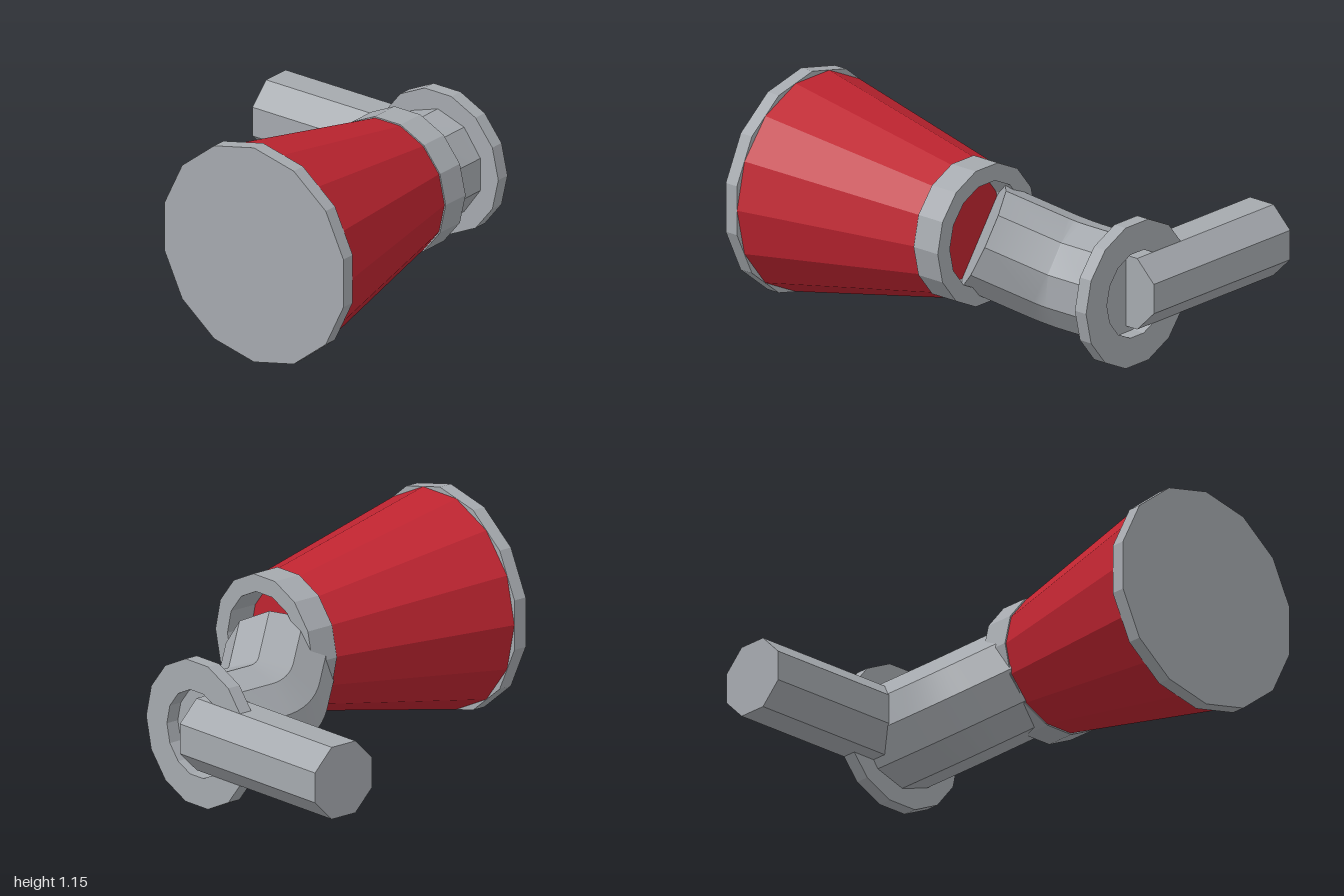
import * as THREE from 'three';
import { toCreasedNormals } from 'three/addons/utils/BufferGeometryUtils.js';

const AXIS = { x: 0.372, y: 0.585 };   // centre line of the cone
const PIPE = { x: 0.065, y: 0.367 };   // centre line of the pipe and handle

export function createModel() {
  const model = new THREE.Group();
  const grey = new THREE.MeshStandardMaterial({ color: 0xa5a9ae });
  grey.name = 'grey metal';
  const red = new THREE.MeshStandardMaterial({ color: 0xbe2430 });
  red.name = 'red paint';

  function add(name, geometry, material) {
    const mesh = new THREE.Mesh(toCreasedNormals(geometry, 0.35), material);
    mesh.name = name;
    model.add(mesh);
    return mesh;
  }

  // Faceted solid along z
  function drum(name, c, rBack, rFront, z0, z1, turn, material) {
    const g = new THREE.CylinderGeometry(rFront, rBack, z1 - z0, 14, 1, false, turn);
    g.rotateX(Math.PI / 2);
    g.translate(c.x, c.y, (z0 + z1) / 2);
    return add(name, g, material);
  }

  // Faceted ring along z, with a flat side on top
  function ring(name, c, rOuter, rInner, z0, z1) {
    const loop = r => Array.from({ length: 14 }, (_, i) => {
      const a = i * Math.PI / 7;
      return new THREE.Vector2(r * Math.cos(a), r * Math.sin(a));
    });
    const shape = new THREE.Shape(loop(rOuter));
    shape.holes.push(new THREE.Path(loop(rInner).reverse()));
    const g = new THREE.ExtrudeGeometry(shape, { depth: z1 - z0, bevelEnabled: false });
    g.translate(c.x, c.y, z0);
    return add(name, g, grey);
  }

  // Cone with its front plate and rear collar
  drum('frontPlate', AXIS, 0.565, 0.565, 0.928, 1, 0, grey);
  drum('cone', AXIS, 0.351, 0.55, -0.04, 0.928, Math.PI / 14, red);
  ring('rearCollar', AXIS, 0.358, 0.27, -0.195, -0.04);

  // Bent pipe, flange and handle
  add('bentPipe', bentPipe(), grey);
  ring('flange', PIPE, 0.372, 0.22, -0.892, -0.82);
  const handle = new THREE.CylinderGeometry(0.198, 0.198, 0.995, 8, 1, false, Math.PI / 8);
  handle.rotateZ(Math.PI / 2);
  handle.translate(-0.4325, PIPE.y, -0.817);
  add('handle', handle, grey);

  return model;
}

// Ten-sided pipe: straight, then a 45 degree bend up and sideways, then straight
function bentPipe() {
  const sides = 10, steps = 8, radius = 0.275, bend = 0.272;
  const phi = THREE.MathUtils.degToRad(35.5);
  const d = new THREE.Vector3(Math.cos(phi), Math.sin(phi), 0);
  const z = new THREE.Vector3(0, 0, 1);
  const b = new THREE.Vector3().crossVectors(z, d);
  const start = new THREE.Vector3(PIPE.x, PIPE.y, -0.552);

  // Sections given as bend angle and extra straight run
  const sections = [[0, -0.27]];
  for (let i = 0; i <= steps; i++) sections.push([i / steps * Math.PI / 4, 0]);
  sections.push([Math.PI / 4, 0.33]);

  const pos = [], index = [], centres = [];
  for (const [a, run] of sections) {
    const tangent = d.clone().multiplyScalar(Math.sin(a)).addScaledVector(z, Math.cos(a));
    const normal = d.clone().multiplyScalar(Math.cos(a)).addScaledVector(z, -Math.sin(a));
    const c = start.clone().addScaledVector(d, bend * (1 - Math.cos(a)))
      .addScaledVector(z, bend * Math.sin(a)).addScaledVector(tangent, run);
    centres.push(c);
    for (let j = 0; j < sides; j++) {
      const t = Math.PI / 2 + j / sides * Math.PI * 2 - phi;
      const p = c.clone().addScaledVector(normal, radius * Math.cos(t))
        .addScaledVector(b, radius * Math.sin(t));
      pos.push(p.x, p.y, p.z);
    }
  }
  const last = (sections.length - 1) * sides, cap = sections.length * sides;
  for (const c of [centres[0], centres[centres.length - 1]]) pos.push(c.x, c.y, c.z);
  for (let j = 0; j < sides; j++) {
    const k = (j + 1) % sides;
    for (let i = 0; i < last; i += sides) {
      index.push(i + j, i + k, i + sides + k, i + j, i + sides + k, i + sides + j);
    }
    index.push(cap, k, j, cap + 1, last + j, last + k);
  }
  const g = new THREE.BufferGeometry();
  g.setAttribute('position', new THREE.Float32BufferAttribute(pos, 3));
  g.setIndex(index);
  g.computeVertexNormals();
  return g;
}
